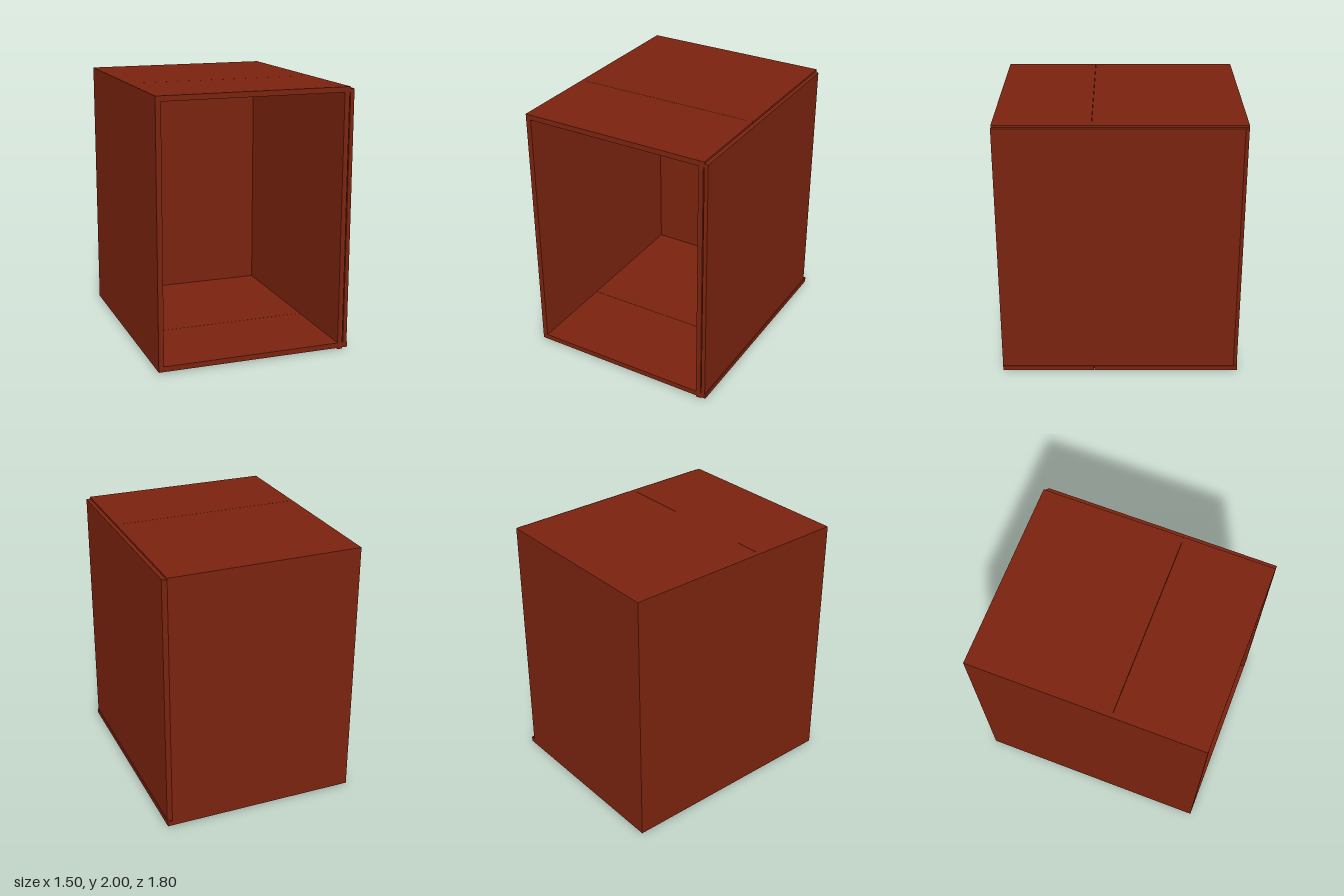
import * as THREE from 'three';

export function createModel() {
  const model = new THREE.Group();
  model.name = 'openCabinet';
  const wood = new THREE.MeshStandardMaterial({ color: 0x7a230e });
  wood.name = 'redBrownWood';

  // Board given by its lower and upper limits on each axis
  function board(name, [x0, x1], [y0, y1], [z0, z1]) {
    const mesh = new THREE.Mesh(new THREE.BoxGeometry(x1 - x0, y1 - y0, z1 - z0), wood);
    mesh.position.set((x0 + x1) / 2, (y0 + y1) / 2, (z0 + z1) / 2);
    mesh.name = name;
    model.add(mesh);
  }

  const front = 0.9, back = -0.9, seam = 0.2;

  // Side walls; the left wall is doubled, with a narrow groove between its layers
  board('rightWall', [-0.75, -0.71], [0.01, 2], [back, front]);
  board('leftInnerWall', [0.665, 0.703], [0, 2], [-0.87, front]);
  board('leftOuterWall', [0.71, 0.74], [0.05, 1.985], [-0.87, front]);

  // Top and bottom are each made of two boards meeting at a seam
  for (const [part, z] of [['Front', [seam + 0.001, front]], ['Back', [back, seam - 0.001]]]) {
    board('top' + part, [-0.71, 0.71], [1.96, 2], z);
    board('bottom' + part, [-0.71, 0.745], [0.01, 0.05], z);
  }

  // Back wall
  board('backWall', [-0.71, 0.71], [0.05, 1.96], [back, -0.87]);

  // Bevelled post closing the rear left corner (shape y is -z)
  const corner = new THREE.Shape([
    new THREE.Vector2(0.71, 0.87),
    new THREE.Vector2(0.74, 0.87),
    new THREE.Vector2(0.71, 0.9),
  ]);
  const post = new THREE.Mesh(
    new THREE.ExtrudeGeometry(corner, { depth: 1.935, bevelEnabled: false }), wood);
  post.rotation.x = -Math.PI / 2;
  post.position.y = 0.05;
  post.name = 'cornerBevel';
  model.add(post);

  return model;
}
